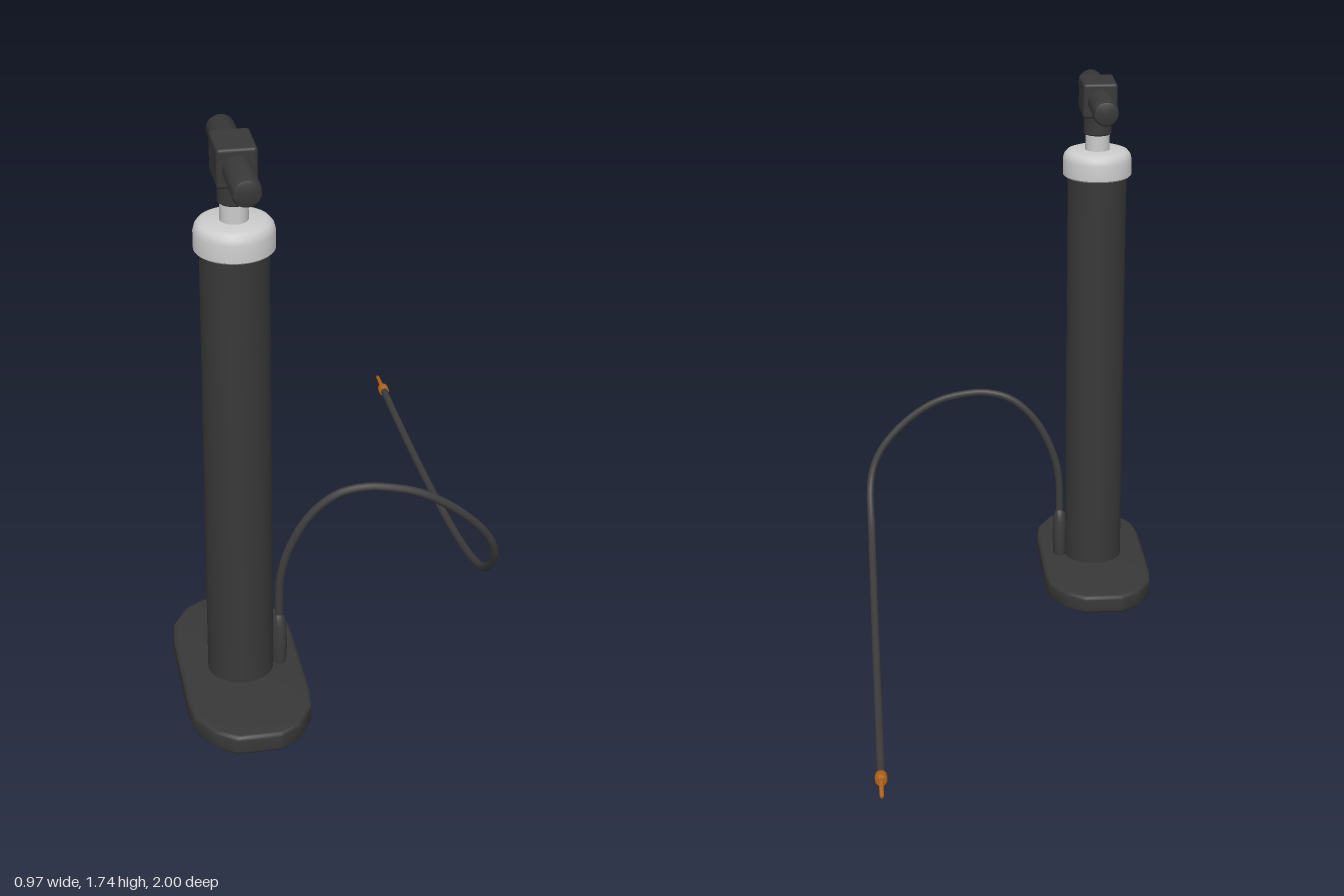
import * as THREE from 'three';
import { toCreasedNormals } from 'three/addons/utils/BufferGeometryUtils.js';
import { RoundedBoxGeometry } from 'three/addons/geometries/RoundedBoxGeometry.js';

const PUMP_X = -0.307, PUMP_Z = 0.643;

const material = (color) => new THREE.MeshStandardMaterial({ color });
const black = material(0x383838);
const rubber = material(0x3c3c3c);
const grey = material(0xcccccc);
const brass = material(0xb0621a);

// Turned part from [radius, height] pairs, with its hard edges kept
function turned(points, segments = 32) {
  const profile = points.map(([r, y]) => new THREE.Vector2(r, y));
  return toCreasedNormals(new THREE.LatheGeometry(profile, segments), 0.6);
}

export function createModel() {
  const model = new THREE.Group();
  const add = (name, geometry, mat, x = PUMP_X, y = 0, z = PUMP_Z) => {
    const mesh = new THREE.Mesh(geometry, mat);
    mesh.name = name;
    mesh.position.set(x, y, z);
    model.add(mesh);
    return mesh;
  };

  // Foot plate: one rounded corner, mirrored to all four
  const corner = [[0.18, 0.16], [0.17, 0.24], [0.122, 0.323], [0.064, 0.36]];
  const back = [...corner].reverse();
  const outline = [
    ...corner,
    ...back.map(([x, z]) => [-x, z]),
    ...corner.map(([x, z]) => [-x, -z]),
    ...back.map(([x, z]) => [x, -z]),
  ].map(([x, z]) => new THREE.Vector2(x, z));
  const plate = new THREE.ExtrudeGeometry(new THREE.Shape(outline), {
    depth: 0.038, bevelThickness: 0.012, bevelSize: 0.012, bevelOffset: -0.012, bevelSegments: 3,
  });
  plate.rotateX(-Math.PI / 2);
  add('footPlate', toCreasedNormals(plate, 0.6), black, PUMP_X, 0.012, 0.64);

  // Barrel, end cap and piston rod
  add('barrel', turned([[0, 0.05], [0.097, 0.05], [0.097, 1.44], [0, 1.44]], 40), black);
  add('barrelCap', turned([
    [0.09, 1.425], [0.108, 1.425], [0.113, 1.43], [0.113, 1.48], [0.109, 1.496],
    [0.1, 1.507], [0.086, 1.512], [0, 1.512],
  ], 40), grey);
  add('pistonRod', turned([[0.04, 1.45], [0.04, 1.6]]), grey);

  // Handle: collar, block and cross bar
  add('handleCollar', turned([[0, 1.564], [0.042, 1.564], [0.046, 1.568], [0.046, 1.65]]), black);
  add('handleBlock', new RoundedBoxGeometry(0.112, 0.114, 0.15, 3, 0.01), black, PUMP_X, 1.687);
  const bar = turned([
    [0, -0.241], [0.03, -0.241], [0.037, -0.238], [0.041, -0.229],
    [0.041, 0.229], [0.037, 0.238], [0.03, 0.241], [0, 0.241],
  ]);
  bar.rotateX(Math.PI / 2);
  add('handleBar', bar, black, PUMP_X, 1.684);

  // Strain relief where the hose leaves the barrel
  add('hoseSleeve', turned([
    [0, 0.055], [0.022, 0.055], [0.027, 0.08], [0.028, 0.14], [0.026, 0.19],
    [0.021, 0.215], [0.013, 0.228], [0, 0.228],
  ], 20), rubber, -0.191).scale.x = 0.85;

  // Hose: arches out to the side, then runs backwards
  const path = [
    [-0.191, 0.18, 0.643], [-0.184, 0.37, 0.648], [-0.145, 0.49, 0.654], [-0.09, 0.577, 0.661],
    [-0.02, 0.635, 0.67], [0.058, 0.655, 0.68], [0.136, 0.649, 0.689], [0.22, 0.626, 0.695],
    [0.293, 0.585, 0.697], [0.362, 0.528, 0.692], [0.418, 0.464, 0.68], [0.451, 0.4, 0.663],
    [0.464, 0.335, 0.63], [0.464, 0.245, 0.54], [0.464, 0.19, 0.41], [0.464, 0.147, 0.195],
    [0.464, 0.12, -0.07], [0.464, 0.102, -0.39], [0.464, 0.096, -0.65], [0.464, 0.095, -0.89],
  ].map((p) => new THREE.Vector3(...p));
  add('hose', new THREE.TubeGeometry(new THREE.CatmullRomCurve3(path), 120, 0.0125, 12),
    rubber, 0, 0, 0);

  // Brass fitting and needle, pointing backwards
  const nozzle = turned([
    [0, 0], [0.016, 0], [0.018, 0.003], [0.018, 0.03], [0.014, 0.037],
    [0.007, 0.039], [0.006, 0.115], [0.004, 0.12], [0, 0.12],
  ], 16);
  nozzle.rotateX(-Math.PI / 2);
  add('nozzle', nozzle, brass, 0.464, 0.095, -0.88);

  return model;
}
